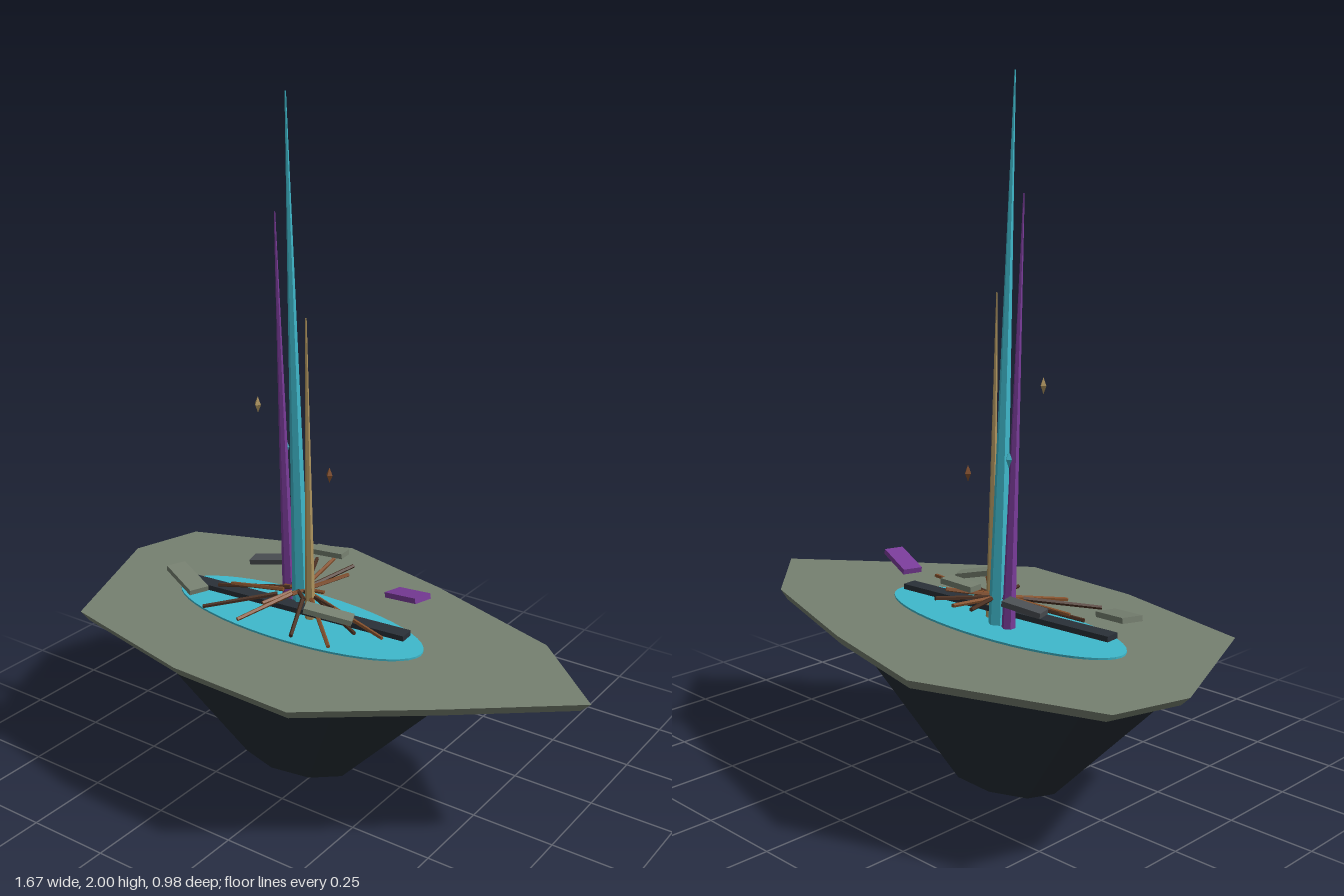
import * as THREE from 'three';

export function createModel() {
  const model = new THREE.Group();
  const mat = (name, color) => {
    const m = new THREE.MeshStandardMaterial({ color, flatShading: true });
    m.name = name;
    return m;
  };
  const moss = mat('moss stone', 0x768070);
  const rock = mat('dark rock', 0x242c33);
  const cyan = mat('cyan', 0x3fb9cc);
  const purple = mat('purple', 0x7a3c9a);
  const gold = mat('gold', 0xb0955f);
  const beamMat = mat('charcoal', 0x2a3038);
  const slate = mat('slate', 0x4b4f53);
  const bark = mat('bark', 0x4a3022);
  const rust = mat('rust', 0x84502c);

  const add = (name, geometry, material, x = 0, y = 0, z = 0) => {
    const mesh = new THREE.Mesh(geometry, material);
    mesh.name = name;
    mesh.position.set(x, y, z);
    model.add(mesh);
    return mesh;
  };

  // Tapered round bar between two points
  const bar = (name, from, to, r0, r1, sides, material) => {
    const a = new THREE.Vector3(...from), b = new THREE.Vector3(...to);
    const dir = b.clone().sub(a);
    const mesh = add(name, new THREE.CylinderGeometry(r1, r0, dir.length(), sides), material);
    mesh.position.copy(a).add(b).multiplyScalar(0.5);
    mesh.quaternion.setFromUnitVectors(new THREE.Vector3(0, 1, 0), dir.normalize());
  };

  // Irregular platform, its underside drawn slightly inward
  const outline = [
    [-0.26, -0.49], [0.13, -0.395], [0.585, -0.24], [0.835, -0.005], [0.53, 0.24],
    [0.2, 0.49], [-0.2, 0.475], [-0.66, 0.37], [-0.84, -0.08], [-0.775, -0.3],
  ].map(([x, z]) => new THREE.Vector2(x, z));
  const plate = new THREE.ExtrudeGeometry(new THREE.Shape(outline), { depth: 0.028, bevelEnabled: false });
  plate.rotateX(Math.PI / 2);
  const p = plate.attributes.position;
  for (let i = 0; i < p.count; i++) {
    if (p.getY(i) < -0.01) p.setXYZ(i, p.getX(i) * 0.965, p.getY(i), p.getZ(i) * 0.965);
  }
  plate.computeVertexNormals();
  add('platform', plate, moss, 0, 0.468, 0);

  // Tapering rock below
  const base = new THREE.CylinderGeometry(0.625, 0.192, 0.44, 9);
  base.rotateY(THREE.MathUtils.degToRad(-5));
  base.scale(1, 1, 0.595);
  add('rockBase', base, rock, -0.11, 0.22, 0.022);

  // Glowing pool
  const pool = new THREE.CylinderGeometry(0.432, 0.432, 0.006, 48);
  pool.scale(1, 1, 0.358);
  add('pool', pool, cyan, -0.108, 0.471, 0.024);

  // Long beam lying across the pool
  const beam = add('beam', new THREE.BoxGeometry(0.745, 0.016, 0.046), beamMat, -0.11, 0.502, 0.027);
  beam.rotation.y = 0.08;

  // Leaning spires
  bar('cyanSpire', [-0.12, 0.46, -0.015], [-0.093, 2, 0.075], 0.027, 0.002, 6, cyan);
  bar('purpleSpire', [-0.17, 0.46, -0.022], [-0.156, 1.675, 0.045], 0.02, 0.002, 6, purple);
  bar('goldSpire', [-0.065, 0.46, 0.016], [-0.042, 1.4, 0.06], 0.016, 0.002, 6, gold);

  // Hovering crystals
  [[-0.2, 0.965, -0.055, cyan], [-0.17, 1.145, 0.115, gold], [-0.05, 0.905, -0.062, rust]]
    .forEach(([x, y, z, m]) => {
      const crystal = add('crystal', new THREE.OctahedronGeometry(0.011), m, x, y, z);
      crystal.scale.y = 2.2;
    });

  // Floating slabs: position, length, width, turn, tilt
  [
    [-0.45, 0.54, 0.12, 0.152, 0.062, -0.38, -0.17, moss],
    [-0.285, 0.572, -0.08, 0.118, 0.05, 0.28, 0.15, slate],
    [-0.11, 0.617, -0.15, 0.108, 0.045, 0.08, 0.05, moss],
    [0.225, 0.597, -0.06, 0.136, 0.058, -0.3, 0.22, purple],
    [0.065, 0.56, 0.105, 0.142, 0.05, 0.43, -0.2, moss],
  ].forEach(([x, y, z, l, w, turn, tilt, m]) => {
    const slab = add('floatingSlab', new THREE.BoxGeometry(l, 0.016, w), m, x, y, z);
    slab.rotation.set(0, turn, tilt);
  });

  // Fan of sticks: inner end, then outer end
  [
    [-0.15, 0.0, -0.37, 0.07, 0.52], [-0.16, 0.02, -0.33, 0.055, 0.53],
    [-0.16, 0.05, -0.32, 0.205, 0.515], [-0.12, 0.02, -0.19, 0.205, 0.51],
    [-0.08, 0.03, 0.0, 0.2, 0.51], [-0.06, 0.02, 0.13, 0.2, 0.515],
    [-0.09, -0.01, 0.15, 0.1, 0.52], [-0.08, 0.0, 0.23, 0.08, 0.52],
    [-0.1, 0.0, 0.03, 0.035, 0.54], [-0.13, 0.02, -0.17, 0.11, 0.53],
    [-0.11, 0.0, -0.05, -0.19, 0.57], [-0.11, 0.0, -0.13, -0.2, 0.57],
    [-0.1, 0.0, -0.18, -0.18, 0.565], [-0.12, 0.03, -0.02, -0.12, 0.575],
    [-0.07, 0.04, -0.2, -0.05, 0.56], [-0.17, 0.0, -0.04, -0.02, 0.55],
  ].forEach(([x0, z0, x1, z1, y1], i) => {
    bar('stick', [x0, 0.545 - z0 * 0.1, z0], [x1, y1, z1], 0.007, 0.006, 5, i % 2 ? rust : bark);
  });

  return model;
}
